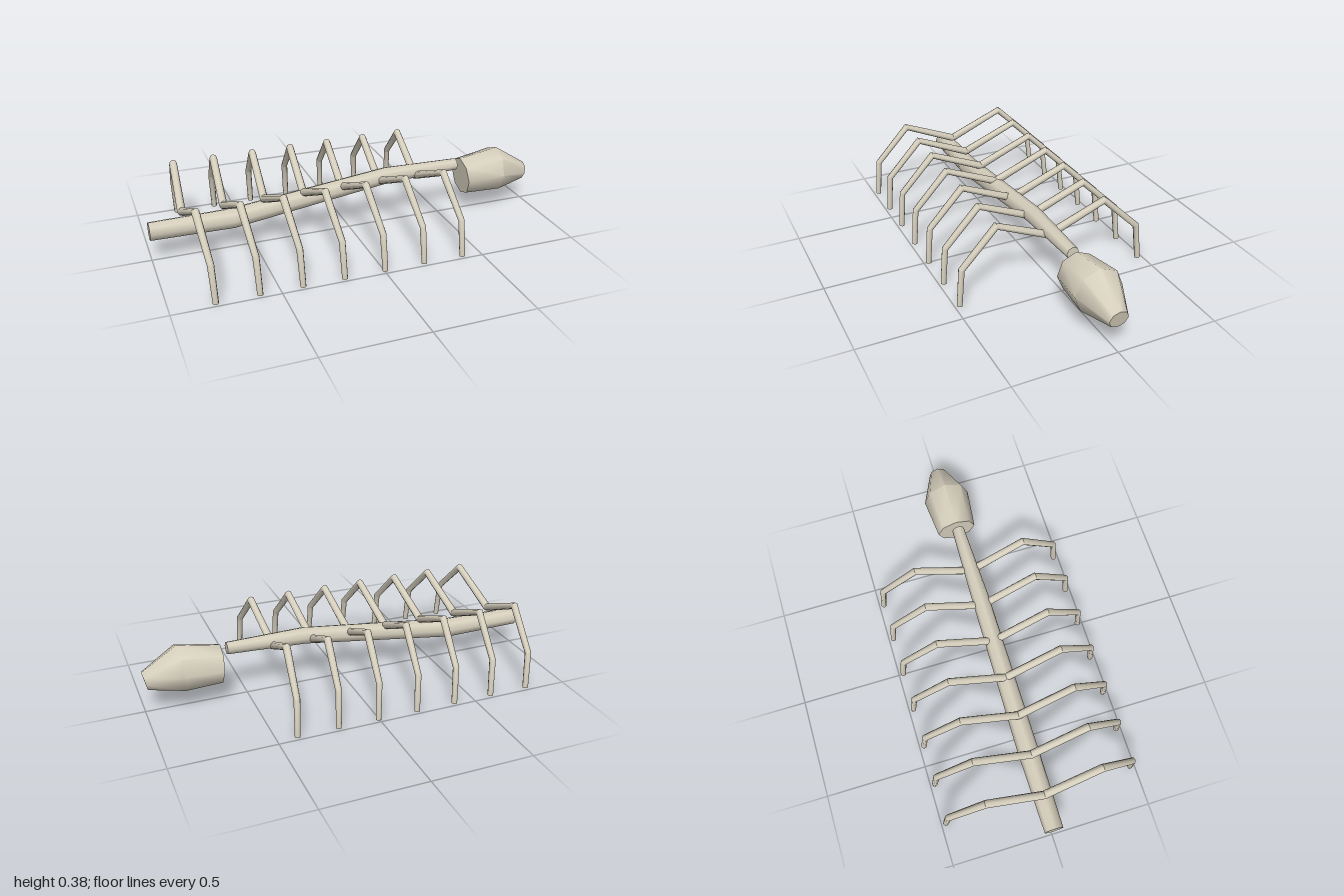
import * as THREE from 'three';
import { toCreasedNormals } from 'three/addons/utils/BufferGeometryUtils.js';

const material = new THREE.MeshStandardMaterial({ color: 0xd6cfbd });

// Capped tube through [x, y, z, radius] stations; each ring is mitred to the path.
function loft(stations, sides, ref, crease) {
  const centres = stations.map(([x, y, z]) => new THREE.Vector3(x, y, z));
  const last = stations.length - 1;
  const positions = [];
  const index = [];
  centres.forEach((c, i) => {
    const t = centres[Math.min(i + 1, last)].clone().sub(c).normalize();
    const before = c.clone().sub(centres[Math.max(i - 1, 0)]).normalize();
    t.add(before).normalize();
    const u = ref.clone().addScaledVector(t, -ref.dot(t)).normalize();
    const v = t.clone().cross(u);
    for (let j = 0; j < sides; j++) {
      const a = (j / sides) * Math.PI * 2;
      const p = c.clone()
        .addScaledVector(u, Math.cos(a) * stations[i][3])
        .addScaledVector(v, Math.sin(a) * stations[i][3]);
      positions.push(p.x, p.y, p.z);
    }
  });
  const startCap = positions.length / 3;
  positions.push(...centres[0].toArray(), ...centres[last].toArray());
  for (let j = 0; j < sides; j++) {
    const k = (j + 1) % sides;
    for (let i = 0; i < last; i++) {
      const a = i * sides, b = a + sides;
      index.push(a + j, a + k, b + k, a + j, b + k, b + j);
    }
    index.push(startCap, k, j, startCap + 1, last * sides + j, last * sides + k);
  }
  const geometry = new THREE.BufferGeometry();
  geometry.setAttribute('position', new THREE.Float32BufferAttribute(positions, 3));
  geometry.setIndex(index);
  return toCreasedNormals(geometry, crease);
}

function part(name, geometry) {
  const mesh = new THREE.Mesh(geometry, material);
  mesh.name = name;
  return mesh;
}

export function createModel() {
  const model = new THREE.Group();
  model.name = 'skeleton';
  const up = new THREE.Vector3(0, 1, 0);
  const along = new THREE.Vector3(1, 0, 0);

  // Rising, tapering backbone
  model.add(part('spine', loft([
    [-1, 0.155, 0, 0.046],
    [-0.6, 0.155, 0, 0.051],
    [0.2, 0.256, 0, 0.043],
    [0.59, 0.26, 0, 0.031],
  ], 8, up, 0.9)));

  // Blunt head with a drooping snout, detached from the spine
  model.add(part('head', loft([
    [0.627, 0.187, 0, 0.098],
    [0.82, 0.202, 0, 0.118],
    [0.989, 0.165, 0, 0.047],
  ], 8, up, 0.9)));

  // Seven pairs of jointed rib legs, swept forward towards the feet
  for (const side of [1, -1]) {
    const ribs = new THREE.Group();
    ribs.name = side > 0 ? 'frontRibs' : 'backRibs';
    const geometry = loft([
      [-0.04, 0.232, 0, 0.02],
      [-0.02, 0.36, side * 0.28, 0.019],
      [-0.003, 0.186, side * 0.459, 0.016],
      [0.004, 0.002, side * 0.477, 0.014],
    ], 8, along, 0.9);
    for (let i = 0; i < 7; i++) {
      const rib = part('rib', geometry);
      rib.position.x = -0.8 + i * 0.2;
      ribs.add(rib);
    }
    model.add(ribs);
  }
  return model;
}
